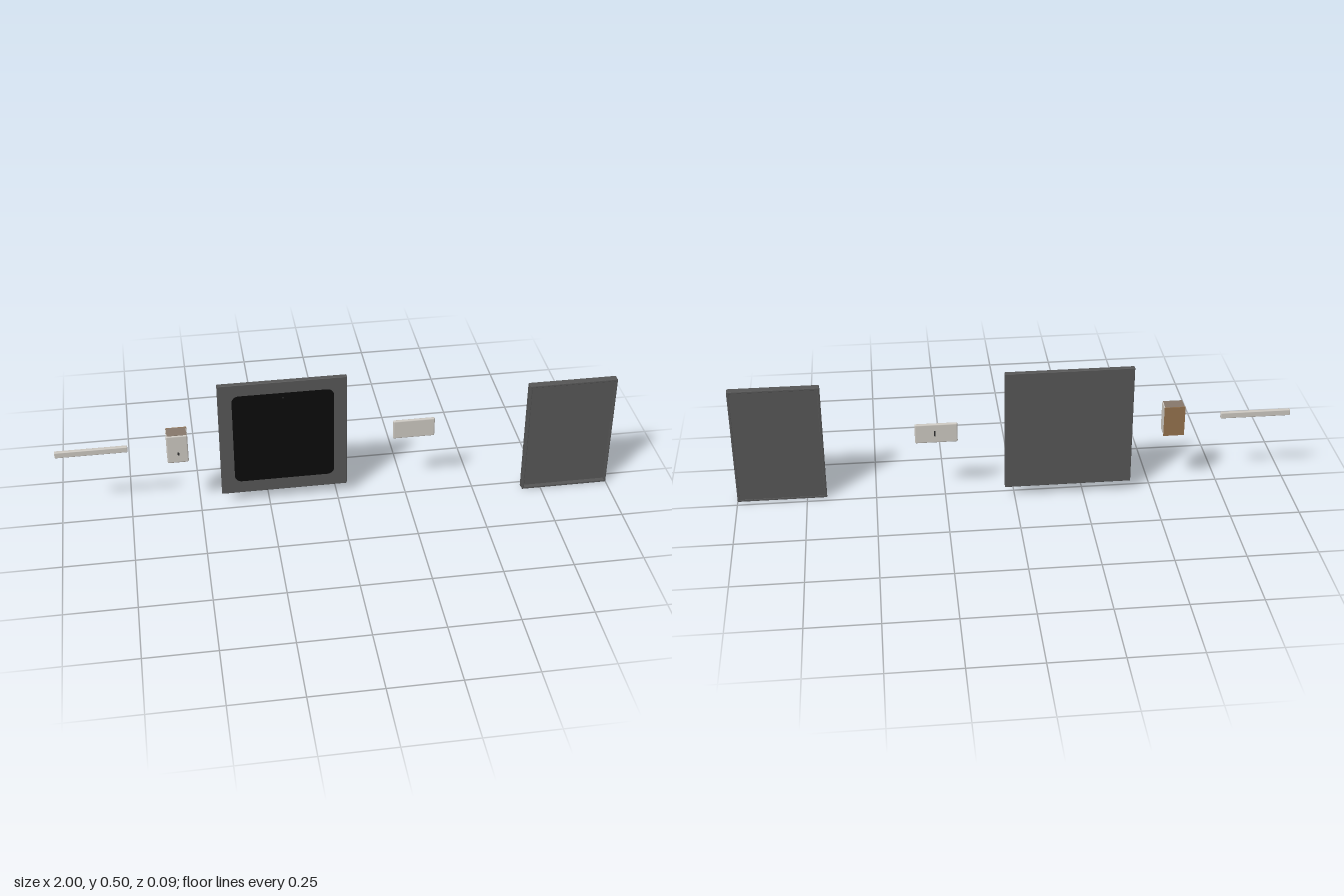
import * as THREE from 'three';
import { RoundedBoxGeometry } from 'three/addons/geometries/RoundedBoxGeometry.js';

const mat = (name, color) => {
  const m = new THREE.MeshStandardMaterial({ color });
  m.name = name;
  return m;
};

// Rounded rectangle outline centred on the origin
function roundedRect(w, h, r, Type = THREE.Shape) {
  const s = new Type(), x = w / 2, y = h / 2;
  s.moveTo(-x + r, -y);
  s.lineTo(x - r, -y); s.absarc(x - r, -y + r, r, -Math.PI / 2, 0);
  s.lineTo(x, y - r); s.absarc(x - r, y - r, r, 0, Math.PI / 2);
  s.lineTo(-x + r, y); s.absarc(-x + r, y - r, r, Math.PI / 2, Math.PI);
  s.lineTo(-x, -y + r); s.absarc(-x + r, -y + r, r, Math.PI, Math.PI * 1.5);
  return s;
}

export function createModel() {
  const root = new THREE.Group();
  const charcoal = mat('charcoal', 0x555555);
  const black = mat('black', 0x0a0a0a);
  const pale = mat('paleGrey', 0xc9c5be);
  const taupe = mat('taupe', 0x85776a);
  const wood = mat('brown', 0x92704c);
  const dark = mat('darkGrey', 0x2e2e2e);

  const add = (parent, name, geo, material, x, y, z) => {
    const m = new THREE.Mesh(geo, material);
    m.name = name;
    m.position.set(x, y, z);
    parent.add(m);
    return m;
  };
  // Block given by its limits, rounded when r > 0
  const block = (parent, name, material, [x0, x1], [y0, y1], [z0, z1], r = 0) => {
    const size = [x1 - x0, y1 - y0, z1 - z0];
    const geo = r ? new RoundedBoxGeometry(...size, 3, r) : new THREE.BoxGeometry(...size);
    return add(parent, name, geo, material, (x0 + x1) / 2, (y0 + y1) / 2, (z0 + z1) / 2);
  };
  const group = (name) => {
    const g = new THREE.Group();
    g.name = name;
    root.add(g);
    return g;
  };

  // Large panel with a black rounded window
  const panel = group('windowPanel');
  block(panel, 'panelBoard', charcoal, [-0.422, 0.036], [0.044, 0.505], [-0.047, -0.029], 0.002);
  add(panel, 'panelWindow', new THREE.ShapeGeometry(roundedRect(0.362, 0.366, 0.025), 8), black,
    -0.192, 0.277, -0.0282);
  add(panel, 'windowDot', new THREE.CircleGeometry(0.003, 12), dark, -0.192, 0.44, -0.0278);

  // Shallow tray: back plate with a raised rim on the front
  const tray = group('tray');
  block(tray, 'trayBack', charcoal, [0.6785, 0.9985], [0.0015, 0.4485], [0.022, 0.032]);
  const rim = roundedRect(0.317, 0.447, 0.002);
  rim.holes.push(roundedRect(0.307, 0.437, 0.002, THREE.Path));
  const rimGeo = new THREE.ExtrudeGeometry(rim, {
    depth: 0.0225, bevelEnabled: true, bevelThickness: 0.0015, bevelSize: 0.0015,
    bevelSegments: 2, curveSegments: 3,
  });
  add(tray, 'trayRim', rimGeo, charcoal, 0.84, 0.225, 0.0235 - 0.0015 + 0.0005);

  // Small housing with taupe ends and a brown back
  const box = group('housing');
  block(box, 'housingBody', pale, [-0.61, -0.535], [0.226, 0.339], [-0.046, 0.008], 0.005);
  for (const [name, y] of [['housingTop', 0.338], ['housingBottom', 0.225]])
    block(box, name, taupe, [-0.607, -0.538], [y, y + 0.002], [-0.046, 0.004]);
  block(box, 'housingBack', wood, [-0.61, -0.535], [0.225, 0.34], [-0.047, -0.044]);
  add(box, 'housingHole', roundedHole(0.006, 0.014), dark, -0.57, 0.264, 0.0085);

  // Small plaque with a slot on its back
  const plaque = group('plaque');
  block(plaque, 'plaqueBody', pale, [0.202, 0.354], [0.233, 0.308], [-0.026, -0.014], 0.005);
  add(plaque, 'plaqueSlot', roundedHole(0.006, 0.022), dark, 0.283, 0.271, -0.0265).rotation.y = Math.PI;

  // Slim bar
  block(root, 'slimBar', pale, [-1, -0.746], [0.273, 0.296], [-0.028, -0.014], 0.003);

  return root;
}

// Flat upright pill for small openings
function roundedHole(w, h) {
  return new THREE.ShapeGeometry(roundedRect(w, h, w * 0.45), 6);
}
